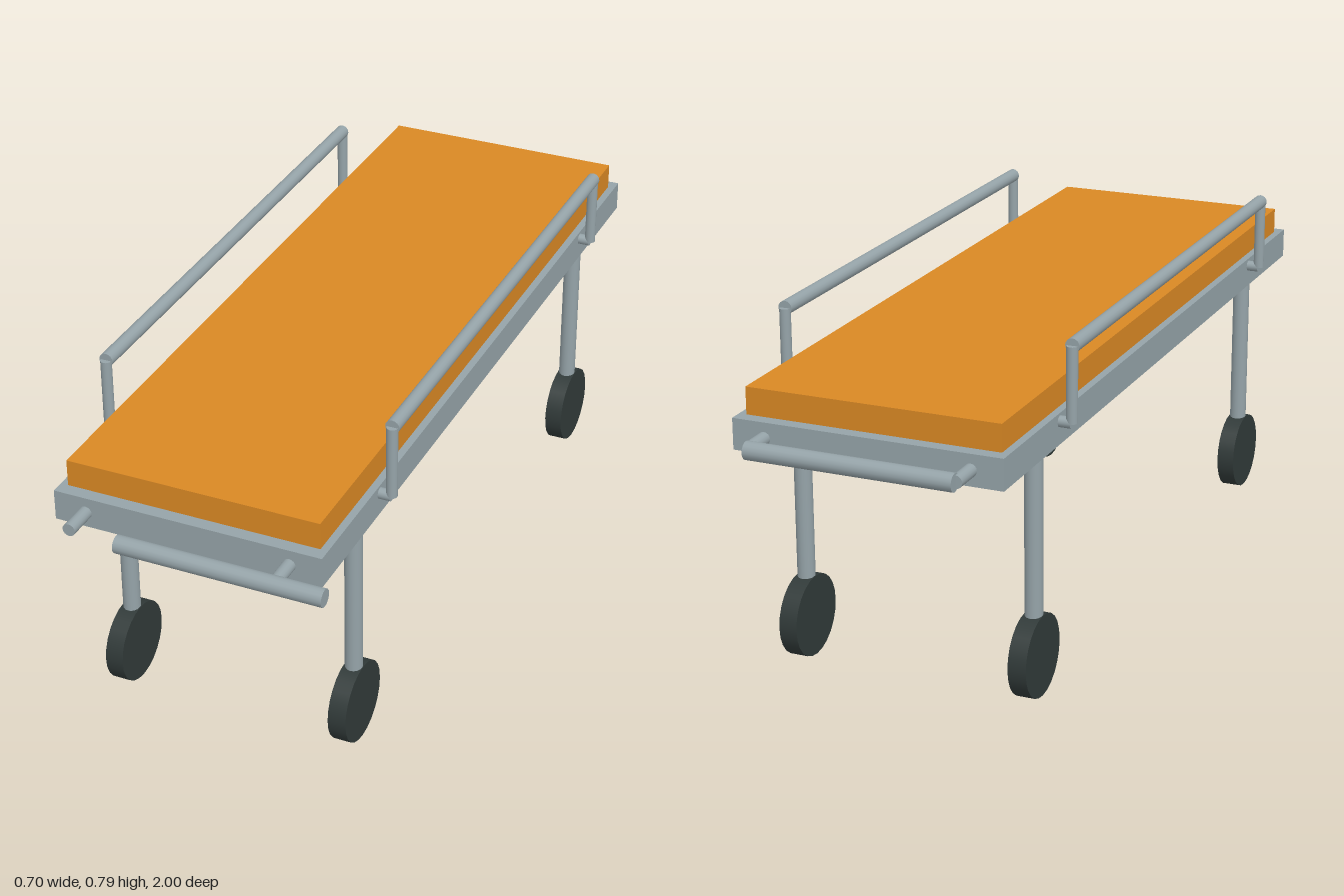
import * as THREE from 'three';

export function createModel() {
  const group = new THREE.Group();
  const material = (name, color) => {
    const m = new THREE.MeshStandardMaterial({ color });
    m.name = name;
    return m;
  };
  const metal = material('grey metal', 0x95a3a8);
  const padding = material('orange padding', 0xd98824);
  const rubber = material('dark rubber', 0x313a39);

  const add = (name, geometry, mat, x, y, z) => {
    const mesh = new THREE.Mesh(geometry, mat);
    mesh.name = name;
    mesh.position.set(x, y, z);
    group.add(mesh);
    return mesh;
  };

  // Round bar along one axis, between two coordinates on that axis
  const bar = (name, axis, radius, from, to, x, y, z, mat = metal, sides = 16) => {
    const geometry = new THREE.CylinderGeometry(radius, radius, Math.abs(to - from), sides);
    if (axis === 'x') geometry.rotateZ(Math.PI / 2);
    if (axis === 'z') geometry.rotateX(Math.PI / 2);
    const mesh = add(name, geometry, mat, x, y, z);
    mesh.position[axis] = (from + to) / 2;
    return mesh;
  };

  // Bed frame and mattress
  add('frame', new THREE.BoxGeometry(0.612, 0.07, 1.812), metal, 0, 0.59, 0);
  add('mattress', new THREE.BoxGeometry(0.578, 0.062, 1.752), padding, 0, 0.655, 0);

  for (const sx of [-1, 1]) {
    const side = sx > 0 ? 'left' : 'right';

    for (const sz of [-1, 1]) {
      const end = sz > 0 ? 'Front' : 'Back';
      // Legs with wheels
      bar(`${side}${end}Leg`, 'y', 0.02, 0.15, 0.56, sx * 0.271, 0, sz * 0.673);
      const wheel = bar(`${side}${end}Wheel`, 'x', 0.093, sx * 0.25, sx * 0.292,
        0, 0.093, sz * 0.673, rubber.clone(), 24);
      wheel.material = rubber;
      // Side rail brackets and posts
      bar(`${side}${end}RailBracket`, 'x', 0.0125, sx * 0.295, sx * 0.333, 0, 0.607, sz * 0.616);
      bar(`${side}${end}RailPost`, 'y', 0.0125, 0.607, 0.775, sx * 0.333, 0, sz * 0.616);
      // Pegs that carry the end handles
      bar(`${side}${end}HandlePeg`, 'z', 0.0145, sz * 0.9, sz * 0.977, sx * 0.233, 0.59, 0);
    }

    // Side rail
    bar(`${side}Rail`, 'z', 0.016, -0.616, 0.616, sx * 0.333, 0.775, 0);
  }

  // End handles; the front one is shifted sideways
  bar('frontHandle', 'x', 0.02, -0.12, 0.346, 0, 0.59, 0.98);
  bar('backHandle', 'x', 0.02, -0.233, 0.233, 0, 0.59, -0.98);

  return group;
}
